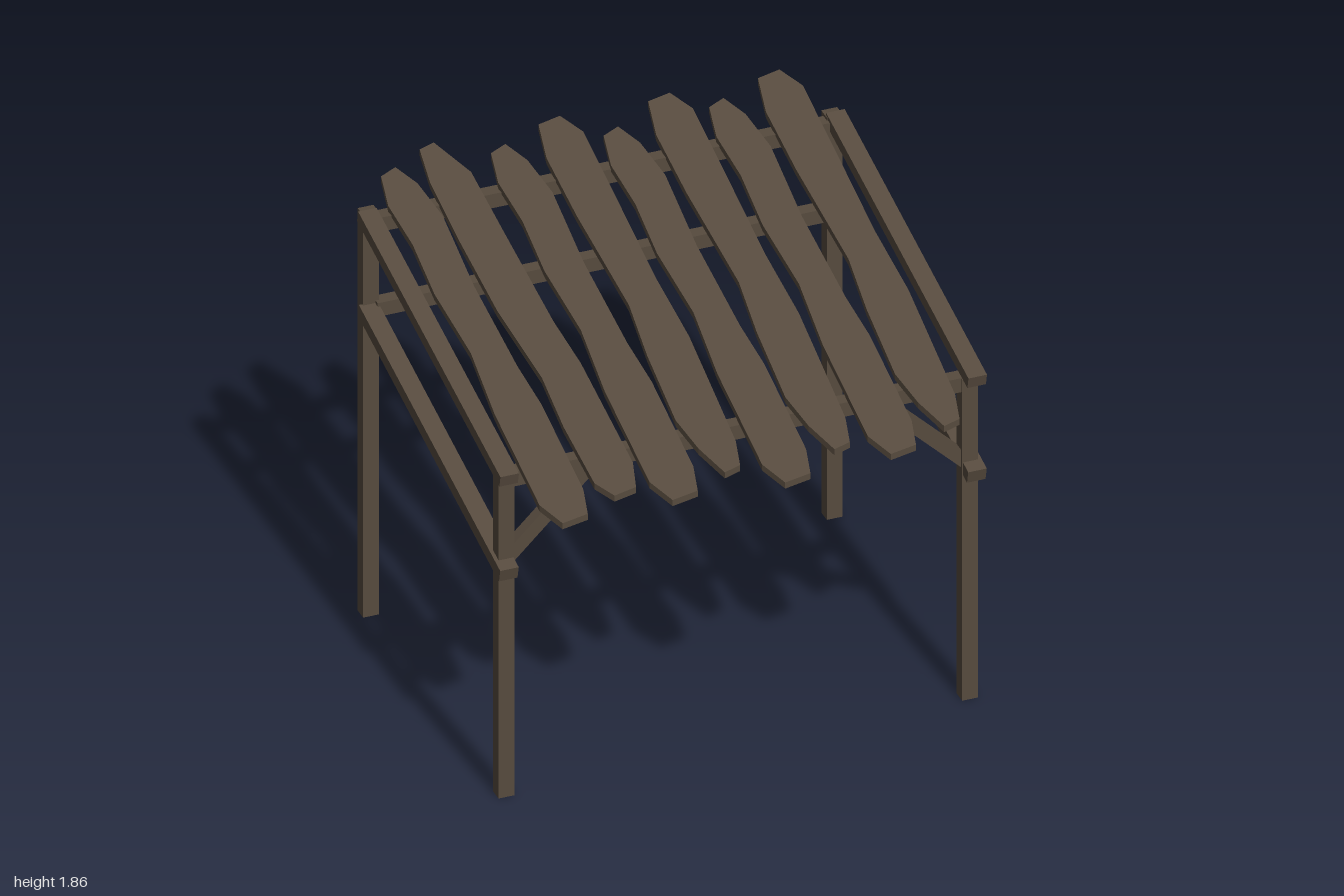
import * as THREE from 'three';

const wood = new THREE.MeshStandardMaterial({ color: 0x574b3e });
wood.name = 'weathered wood';

// Plank outlines as [x, z] pairs, walked clockwise from the rear tip
const plankA = [[-.05, -.86], [.02, -.89], [.07, -.79], [.10, -.61], [.08, -.24], [.085, .19], [.10, .40], [.09, .85],
  [.06, .97], [-.05, .99], [-.10, .88], [-.09, .40], [-.06, .08], [-.08, -.24], [-.065, -.50], [-.08, -.71]];
const plankB = [[-.075, -.98], [-.01, -1], [.07, -.82], [.075, -.5], [.085, -.02], [.105, .21], [.105, .74], [.07, .86],
  [-.025, .88], [-.075, .80], [-.08, .5], [-.065, .24], [-.10, -.13], [-.105, -.5], [-.10, -.81]];
const plankC = [[-.055, -.98], [.04, -1], [.095, -.9], [.09, -.6], [.08, -.13], [.09, .19], [.07, .56], [.06, .74],
  [.03, .86], [-.04, .88], [-.09, .74], [-.12, .58], [-.10, .24], [-.07, -.02], [-.09, -.5], [-.09, -.81]];

export function createModel() {
  const group = new THREE.Group();

  function add(name, geometry) {
    const mesh = new THREE.Mesh(geometry, wood);
    mesh.name = name;
    group.add(mesh);
    return mesh;
  }

  function box(name, w, h, d, x, y, z) {
    const mesh = add(name, new THREE.BoxGeometry(w, h, d));
    mesh.position.set(x, y, z);
    return mesh;
  }

  // Square timber running between two points
  function timber(name, a, b, w, h) {
    const from = new THREE.Vector3(...a), to = new THREE.Vector3(...b);
    const mesh = add(name, new THREE.BoxGeometry(w, h, from.distanceTo(to)));
    mesh.position.copy(from).lerp(to, 0.5);
    mesh.lookAt(to);
  }

  // Wavy roof plank, sheared to follow the roof slope
  function plank(outline, x, dz) {
    const shape = new THREE.Shape(outline.map(([px, pz]) => new THREE.Vector2(px, -pz - dz)));
    const geo = new THREE.ExtrudeGeometry(shape, { depth: 0.027, bevelEnabled: false }).rotateX(-Math.PI / 2);
    const p = geo.attributes.position;
    for (let i = 0; i < p.count; i++) p.setY(i, p.getY(i) + 1.587 - 0.25 * p.getZ(i));
    geo.computeVertexNormals();
    add('roofPlank', geo).position.x = x;
  }

  // Posts, sloping rails and front braces on both sides
  for (const [side, s] of [['left', 1], ['right', -1]]) {
    box(side + 'FrontPost', 0.064, 1.425, 0.056, s * 0.938, 0.7125, 0.617);
    box(side + 'BackPost', 0.064, 1.785, 0.056, s * 0.938, 0.8925, -0.762);
    timber(side + 'UpperRail', [s * 0.947, 1.437, 0.695], [s * 0.947, 1.772, -0.755], 0.075, 0.05);
    timber(side + 'LowerRail', [s * 0.947, 1.017, 0.692], [s * 0.947, 1.36, -0.748], 0.075, 0.055);
    timber(side + 'Brace', [s * 0.935, 1.04, 0.61], [s * 0.60, 1.37, 0.61], 0.05, 0.055);
  }

  // Cross beams
  box('frontBeam', 1.84, 0.062, 0.056, 0, 1.396, 0.609);
  box('backBeam', 1.84, 0.062, 0.056, 0, 1.742, -0.74);
  box('backMiddleRail', 1.84, 0.06, 0.056, 0, 1.366, -0.74);

  // Roof planks
  for (const x of [-0.786, -0.341, 0.103, 0.542]) plank(plankA, x, x === 0.103 ? 0 : -0.03);
  plank(plankB, -0.569, 0);
  for (const x of [-0.108, 0.336, 0.78]) plank(plankC, x, 0);

  return group;
}
